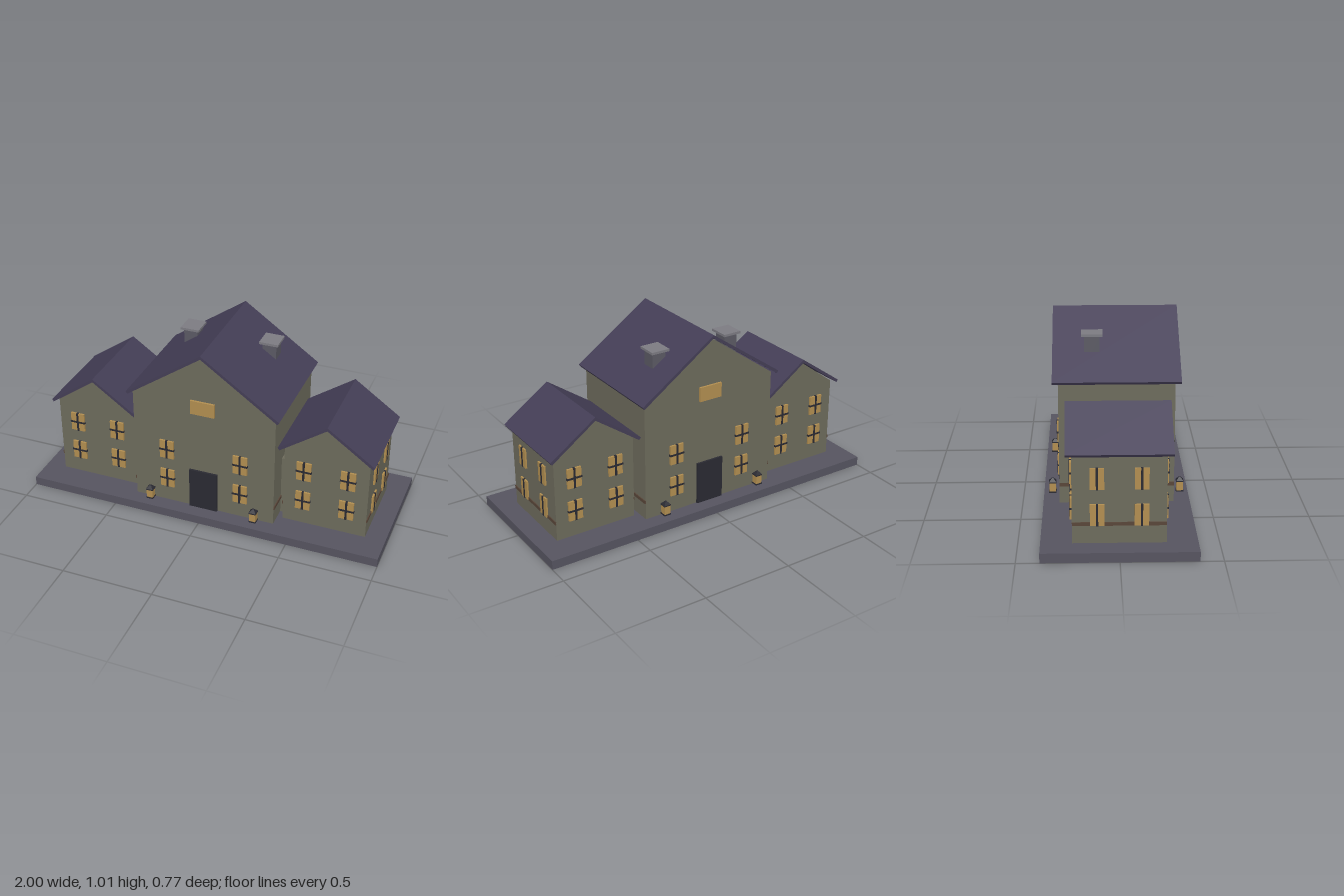
import * as THREE from 'three';

const mat = (name, color) => {
  const m = new THREE.MeshStandardMaterial({ color });
  m.name = name;
  return m;
};

export function createModel() {
  const model = new THREE.Group();
  model.name = 'manorHouse';

  const wallMat = mat('olive stone', 0x6d6b5c);
  const roofMat = mat('purple slate', 0x443e56);
  const baseMat = mat('grey paving', 0x565460);
  const glowMat = mat('amber glass', 0xb28e50);
  const darkMat = mat('dark iron', 0x2a2a32);
  const bandMat = mat('brown trim', 0x594639);
  const stoneMat = mat('chimney stone', 0x5b5a64);
  const capMat = mat('chimney cap stone', 0x7c7b82);

  const add = (parent, name, geometry, material, x = 0, y = 0, z = 0) => {
    const mesh = new THREE.Mesh(geometry, material);
    mesh.name = name;
    mesh.position.set(x, y, z);
    parent.add(mesh);
    return mesh;
  };
  const box = (parent, name, w, h, d, material, x, y, z) =>
    add(parent, name, new THREE.BoxGeometry(w, h, d), material, x, y, z);

  // Extrude an x-y outline symmetrically along z
  const prism = (points, depth) => {
    const shape = new THREE.Shape(points.map(([x, y]) => new THREE.Vector2(x, y)));
    return new THREE.ExtrudeGeometry(shape, { depth, bevelEnabled: false }).translate(0, 0, -depth / 2);
  };

  // Gabled block with a thin overhanging roof and a trim band on its sides
  const house = (name, x, halfW, halfD, eave, apex, roof) => {
    const g = new THREE.Group();
    g.name = name;
    g.position.x = x;
    model.add(g);
    add(g, 'walls', prism(
      [[-halfW, 0.05], [halfW, 0.05], [halfW, eave], [0, apex], [-halfW, eave]], halfD * 2), wallMat);
    const { w, top, low } = roof;
    add(g, 'roof', prism([
      [0, top], [-w, low], [-w + 0.009, low - 0.014], [0, top - 0.018],
      [w - 0.009, low - 0.014], [w, low]], halfD * 2 + 0.06), roofMat);
    for (const s of [-1, 1])
      box(g, 'trimBand', 0.006, 0.018, halfD * 2, bandMat, s * (halfW + 0.002), 0.152, 0);
    return g;
  };

  // Lit window with crossed glazing bars, facing +z before it is turned
  const windowUnit = (parent, x, y, z, turn, width = 0.08, crossbar = true) => {
    const g = new THREE.Group();
    g.name = 'window';
    g.position.set(x, y, z);
    g.rotation.y = turn;
    parent.add(g);
    box(g, 'pane', width, 0.11, 0.018, glowMat, 0, 0, 0);
    box(g, 'verticalBar', 0.011, 0.113, 0.024, darkMat, 0, 0, 0);
    if (crossbar) box(g, 'crossBar', width + 0.006, 0.01, 0.024, darkMat, 0, 0, 0);
  };
  const rows = [0.2, 0.387];

  box(model, 'base', 2, 0.05, 0.77, baseMat, 0, 0.025, 0);

  const main = house('mainHall', 0, 0.4, 0.3, 0.707, 0.992, { w: 0.427, top: 1.015, low: 0.718 });

  // Front and back of the main hall: door, gable window, windows, lanterns
  for (const f of [1, -1]) {
    const turn = f > 0 ? 0 : Math.PI;
    box(main, 'door', 0.16, 0.24, 0.024, darkMat, 0, 0.17, f * 0.3);
    box(main, 'gableWindow', 0.135, 0.08, 0.024, glowMat, 0, 0.69, f * 0.3);
    for (const s of [-1, 1]) {
      for (const y of rows) windowUnit(main, s * 0.21, y, f * 0.302, turn);

      const lantern = new THREE.Group();
      lantern.name = 'lantern';
      lantern.position.set(s * 0.3, 0, f * 0.338);
      model.add(lantern);
      box(lantern, 'lanternBase', 0.04, 0.007, 0.04, darkMat, 0, 0.073, 0);
      box(lantern, 'lanternGlass', 0.035, 0.05, 0.035, glowMat, 0, 0.1, 0);
      box(lantern, 'lanternRim', 0.04, 0.006, 0.04, darkMat, 0, 0.127, 0);
      const cap = new THREE.CylinderGeometry(0.006, 0.027, 0.018, 4).toNonIndexed();
      cap.computeVertexNormals();
      cap.rotateY(Math.PI / 4);
      add(lantern, 'lanternCap', cap, darkMat, 0, 0.139, 0);
    }
  }

  for (const s of [-1, 1]) {
    // Side wing and its recessed link to the hall
    const wing = house(s > 0 ? 'leftWing' : 'rightWing', s * 0.66, 0.23, 0.23, 0.509, 0.678,
      { w: 0.26, top: 0.7, low: 0.518 });
    box(model, 'wingLink', 0.05, 0.35, 0.36, wallMat, s * 0.415, 0.225, 0);
    for (const y of rows) {
      for (const f of [1, -1]) {
        for (const x of [-0.12, 0.12])
          windowUnit(wing, x, y, f * 0.232, f > 0 ? 0 : Math.PI);
        windowUnit(wing, s * 0.23, y, f * 0.108, s * Math.PI / 2, 0.07, false);
      }
    }

    // Chimney
    box(model, 'chimney', 0.078, 0.155, 0.08, stoneMat, s * 0.225, 0.838, -0.125);
    box(model, 'chimneyCap', 0.105, 0.013, 0.112, capMat, s * 0.225, 0.922, -0.125);
  }

  return model;
}
